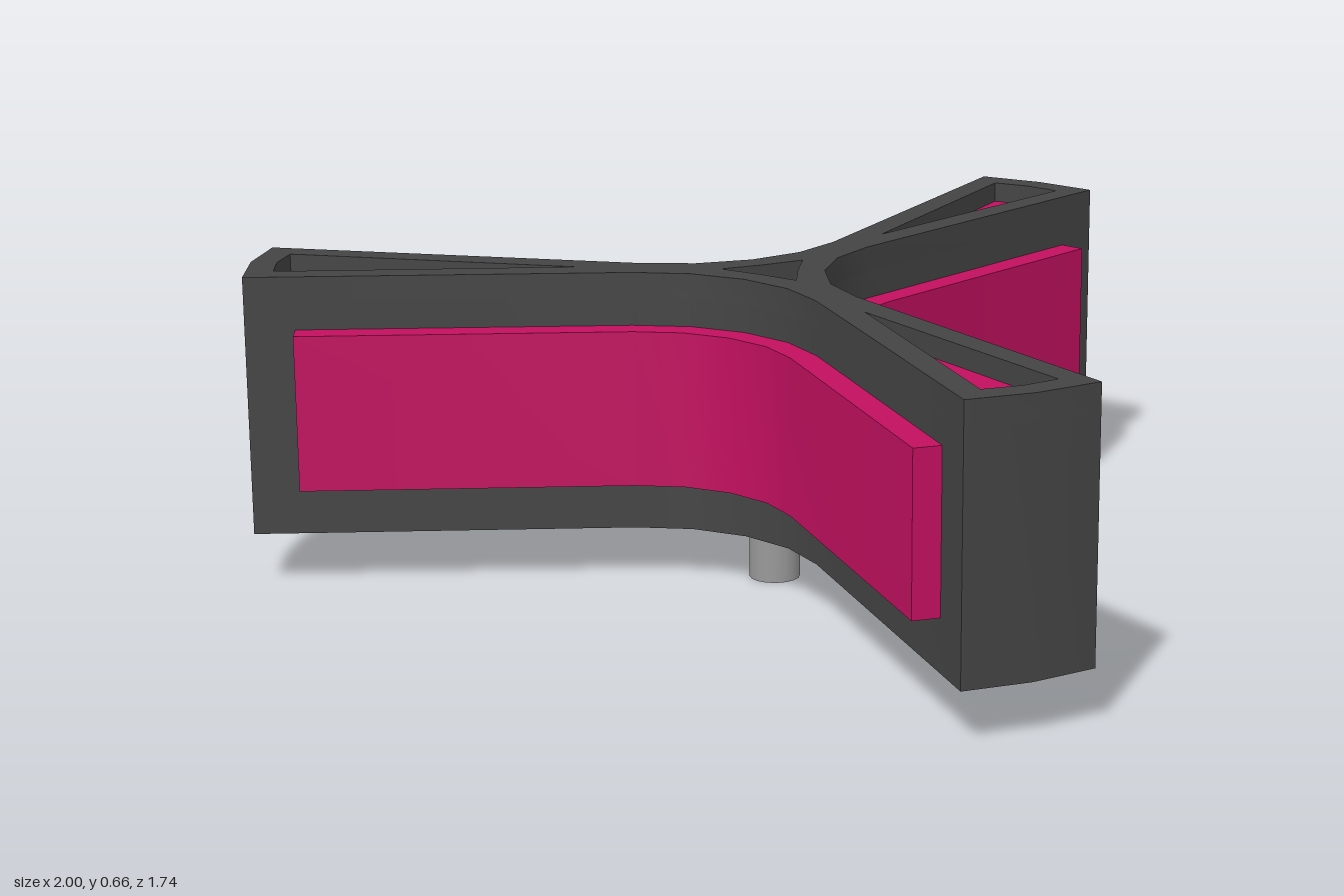
import * as THREE from 'three';
import { toCreasedNormals } from 'three/addons/utils/BufferGeometryUtils.js';

const BEND = THREE.MathUtils.degToRad(37.2); // half turn of the curve between two arms
const THIRD = (Math.PI * 2) / 3;
const HUB = 0.105; // hub centre to the middle of each concave side

const polar = (r, deg) => new THREE.Vector2(r * Math.cos(deg * Math.PI / 180), r * Math.sin(deg * Math.PI / 180));
const turn = (points, k) => points.map(p => p.clone().rotateAround(new THREE.Vector2(), k * THIRD));

// Concave arc between two arms, offset outwards from the body wall
function arc(offset) {
  const r = 0.375 - offset;
  return [1, 0.5, 0, -0.5, -1].map(t =>
    new THREE.Vector2(r * Math.sin(t * BEND), HUB + 0.375 - r * Math.cos(t * BEND)));
}

// Plan outline (x, -z) extruded upwards from y0 to y1
function slab(points, y0, y1, material, name, holes = []) {
  const shape = new THREE.Shape(points);
  shape.holes = holes.map(h => new THREE.Path(h));
  const geo = new THREE.ExtrudeGeometry(shape, { depth: y1 - y0, bevelEnabled: false });
  geo.rotateX(-Math.PI / 2).translate(0, y0, 0);
  const mesh = new THREE.Mesh(toCreasedNormals(geo, 0.4), material);
  mesh.name = name;
  return mesh;
}

export function createModel() {
  const dark = new THREE.MeshStandardMaterial({ color: 0x444444 });
  const pink = new THREE.MeshStandardMaterial({ color: 0xc2105f });
  const metal = new THREE.MeshStandardMaterial({ color: 0x999999 });
  const model = new THREE.Group();
  model.name = 'threeArmBody';

  // Three-armed outline and the pockets in its top
  const sector = [polar(1.08, 22.5), polar(1.085, 30), polar(1.08, 37.5), ...arc(0)];
  const outline = [0, 1, 2].flatMap(k => turn(sector, k));
  const armPocket = [polar(0.41, 30), polar(1.023, 25.5), polar(1.03, 30), polar(1.023, 34.5)];
  const hubPocket = [0, 1, 2].flatMap(k => turn([polar(0.107, 30), new THREE.Vector2(0, 0.05)], k));
  const pockets = [hubPocket, ...[0, 1, 2].map(k => turn(armPocket, k))];

  const floorY = 0.615;
  model.add(slab(outline, 0.113, floorY - 0.01, dark, 'body'));
  model.add(slab(outline, floorY - 0.01, 0.658, dark, 'topFrame', pockets));
  pockets.forEach((p, i) => model.add(slab(p, floorY - 0.015, floorY, pink, i ? 'armInlay' : 'hubInlay')));

  // Curved side panels, each wrapping from one arm to the next
  const outer = arc(0.055), inner = arc(-0.01);
  const along = new THREE.Vector2(Math.cos(BEND), Math.sin(BEND)).multiplyScalar(0.687);
  const mirrored = new THREE.Vector2(-along.x, along.y);
  const withEnds = pts => [pts[0].clone().add(along), ...pts, pts[4].clone().add(mirrored)];
  const panel = [...withEnds(outer), ...withEnds(inner).reverse()].reverse();
  for (let k = 0; k < 3; k++) model.add(slab(turn(panel, k), 0.22, 0.547, pink, 'sidePanel'));

  // Pin under the hub
  const pin = new THREE.Mesh(new THREE.CylinderGeometry(0.053, 0.053, 0.12, 16), metal);
  pin.position.y = 0.06;
  pin.name = 'pin';
  model.add(pin);

  model.position.z = -0.213;
  const root = new THREE.Group();
  root.add(model);
  return root;
}
